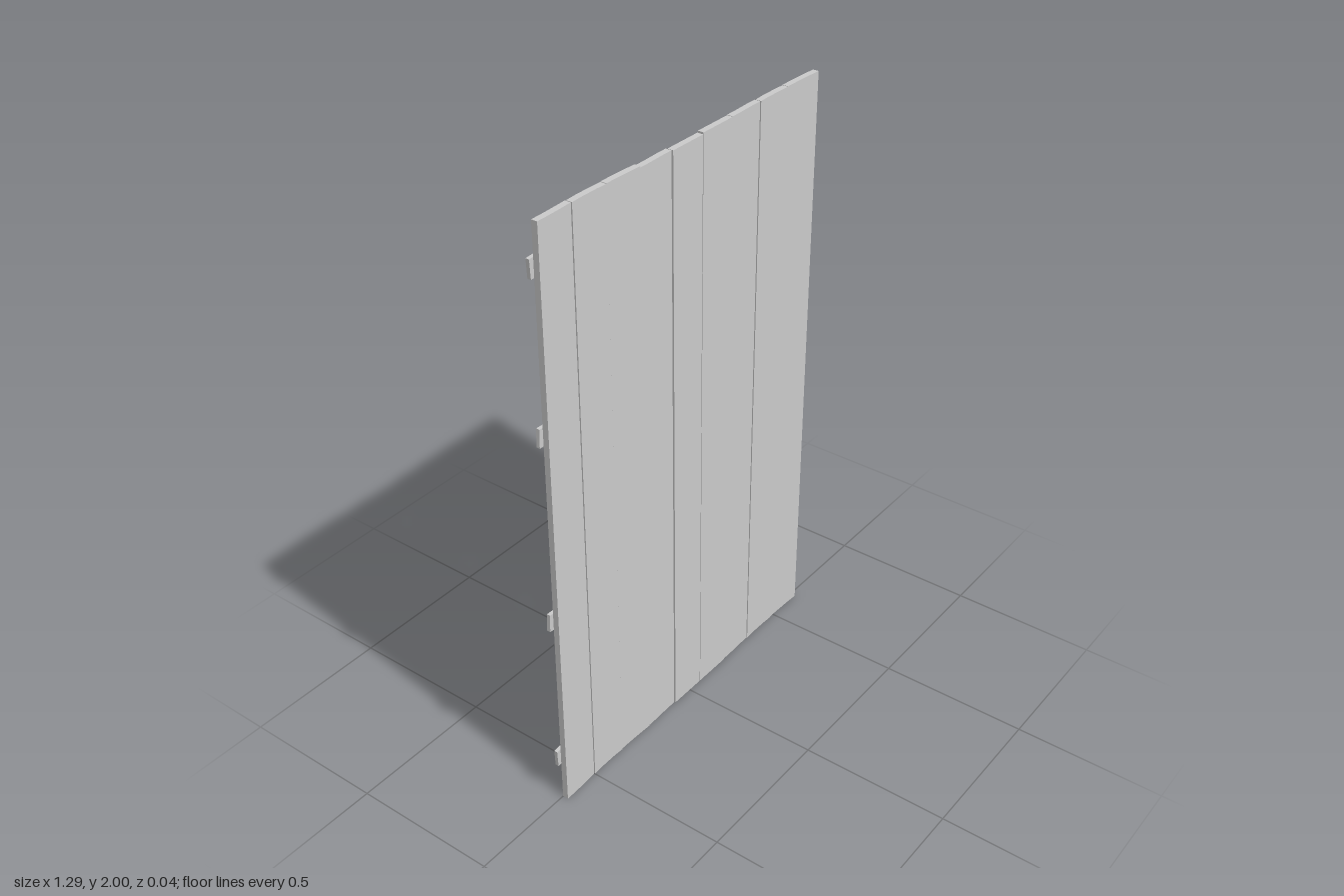
import * as THREE from 'three';

const material = new THREE.MeshStandardMaterial({ color: 0xcccccc, flatShading: true });

// Vertical board with a slightly warped section: front z at its left edge, two inner points and right edge
function plank(x0, x1, warp, height) {
  const thick = 0.02;
  const w = x1 - x0;
  const xs = [x0, x0 + w * 0.27, x0 + w * 0.73, x1];
  const front = xs.map((x, i) => new THREE.Vector2(x, -warp[i]));
  const back = xs.map((x, i) => new THREE.Vector2(x, thick - warp[i])).reverse();
  const geometry = new THREE.ExtrudeGeometry(new THREE.Shape([...front, ...back]), {
    depth: height, bevelEnabled: false,
  });
  geometry.rotateX(-Math.PI / 2);
  return new THREE.Mesh(geometry, material);
}

// Cross batten on the back, running from yA at -x to yB at +x
function batten(yA, yB) {
  const half = 0.643;
  const angle = Math.atan2(yB - yA, half * 2);
  const mesh = new THREE.Mesh(new THREE.BoxGeometry(half * 2 / Math.cos(angle), 0.06, 0.012), material);
  mesh.position.set(0, (yA + yB) / 2, -0.013);
  mesh.rotation.z = angle;
  return mesh;
}

export function createModel() {
  const group = new THREE.Group();

  // Nine upright planks
  const joints = [-0.635, -0.5, -0.36, -0.22, -0.08, 0.058, 0.198, 0.338, 0.478, 0.635];
  const F = 0.019, M = 0.017, B = 0.015;
  const warps = [
    [F, F, M, B], [M, B, B, M], [B, B, M, F],
    [M, M, B, B], [F, F, F, F], [F, F, F, F],
    [M, M, B, B], [M, B, B, M], [B, B, M, F],
  ];
  const planks = new THREE.Group();
  planks.name = 'planks';
  warps.forEach((warp, i) => {
    const gap = 0.0012;
    const left = joints[i] + (i > 0 ? gap : 0);
    const right = joints[i + 1] - (i < 8 ? gap : 0);
    const board = plank(left, right, warp, i === 3 || i === 4 ? 1.995 : 2);
    board.name = `plank${i + 1}`;
    planks.add(board);
  });
  group.add(planks);

  // Four battens, tilted alternately
  const battens = new THREE.Group();
  battens.name = 'battens';
  [[0.16, 0.22], [0.70, 0.64], [1.345, 1.285], [1.86, 1.925]].forEach(([a, b], i) => {
    const bar = batten(a, b);
    bar.name = `batten${i + 1}`;
    battens.add(bar);
  });
  group.add(battens);

  return group;
}
